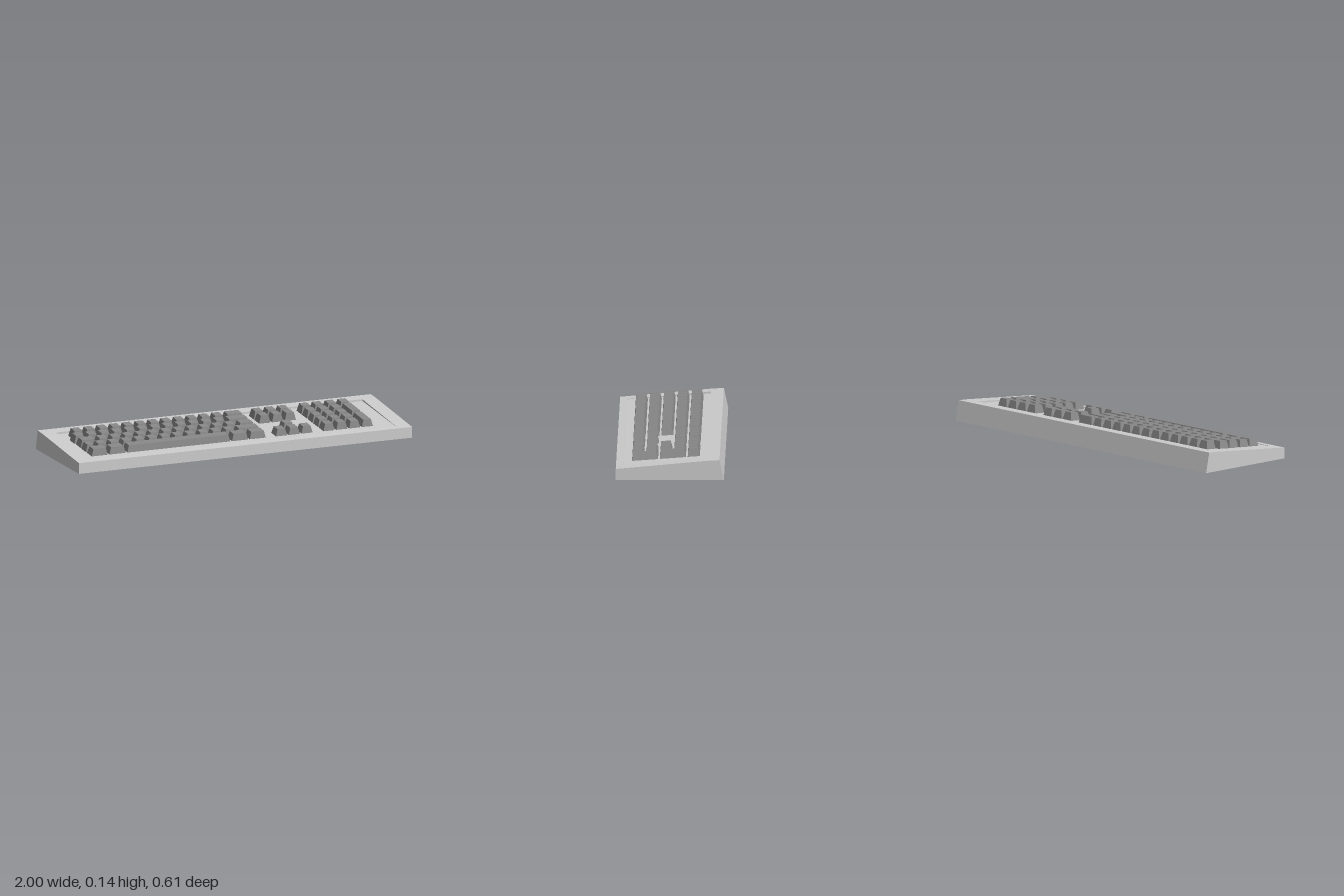
import * as THREE from 'three';

const caseMat = new THREE.MeshStandardMaterial({ color: 0xcccccc, flatShading: true });
const keyMat = new THREE.MeshStandardMaterial({ color: 0x888888, flatShading: true });

const PITCH = 0.0765, KEY_W = 0.067, KEY_H = 0.036;
const HALF = 0.998, FRONT = 0.297, BACK = -0.297, BACK_TOP = -0.273;
const PX = 0.917, PZ_FRONT = 0.255, PZ_BACK = -0.203; // recessed panel

// Height of the sloping deck
const deck = (z) => 0.061 + (FRONT - z) * 0.0935;
// Panel floor, sinking gently towards the back
const floorY = (z) => deck(z) - 0.002 - 0.008 * (PZ_FRONT - z) / (PZ_FRONT - PZ_BACK);

// Wedge-shaped case with a sunken panel, built from convex polygons
function caseGeometry() {
  const pos = [];
  const face = (...p) => {
    for (let i = 1; i < p.length - 1; i++) pos.push(...p[0], ...p[i], ...p[i + 1]);
  };
  const yB = deck(PZ_BACK), yF = deck(PZ_FRONT), y0 = deck(FRONT), y1 = 0.112;
  const fB = floorY(PZ_BACK), fF = floorY(PZ_FRONT);
  const W = HALF;

  // Underside, front and back
  face([-W, 0, BACK], [W, 0, BACK], [W, 0, FRONT], [-W, 0, FRONT]);
  face([-W, 0, FRONT], [W, 0, FRONT], [W, y0, FRONT], [-W, y0, FRONT]);
  face([W, 0, BACK], [-W, 0, BACK], [-W, y1, BACK_TOP], [W, y1, BACK_TOP]);
  // Front and back rim
  face([-W, y0, FRONT], [W, y0, FRONT], [W, yF, PZ_FRONT], [-W, yF, PZ_FRONT]);
  face([-W, yB, PZ_BACK], [W, yB, PZ_BACK], [W, y1, BACK_TOP], [-W, y1, BACK_TOP]);
  // Panel floor with its front and back walls
  face([-PX, fF, PZ_FRONT], [PX, fF, PZ_FRONT], [PX, fB, PZ_BACK], [-PX, fB, PZ_BACK]);
  face([PX, fF, PZ_FRONT], [-PX, fF, PZ_FRONT], [-PX, yF, PZ_FRONT], [PX, yF, PZ_FRONT]);
  face([-PX, fB, PZ_BACK], [PX, fB, PZ_BACK], [PX, yB, PZ_BACK], [-PX, yB, PZ_BACK]);
  // Ends, side rims and panel side walls, mirrored
  for (const s of [1, -1]) {
    const side = (...p) => {
      const q = p.map(([x, y, z]) => [x * s, y, z]);
      face(...(s > 0 ? q : q.reverse()));
    };
    side([W, 0, FRONT], [W, 0, BACK], [W, y1, BACK_TOP], [W, yB, PZ_BACK], [W, y0, FRONT]);
    side([PX, yF, PZ_FRONT], [W, yF, PZ_FRONT], [W, yB, PZ_BACK], [PX, yB, PZ_BACK]);
    side([PX, fB, PZ_BACK], [PX, fF, PZ_FRONT], [PX, yF, PZ_FRONT], [PX, yB, PZ_BACK]);
  }
  const g = new THREE.BufferGeometry();
  g.setAttribute('position', new THREE.Float32BufferAttribute(pos, 3));
  g.computeVertexNormals();
  return g;
}

// Tapered keycap standing on the panel, its top parallel to the deck
function makeKey(name, x0, x1, z0, z1) {
  const g = new THREE.BoxGeometry(1, 1, 1);
  const p = g.attributes.position;
  for (let i = 0; i < p.count; i++) {
    const top = p.getY(i) > 0 ? 1 : 0;
    const x = p.getX(i) < 0 ? x0 + 0.011 * top : x1 - 0.011 * top;
    const z = p.getZ(i) < 0 ? z0 + 0.011 * top : z1 - 0.004 * top;
    p.setXYZ(i, x, top ? deck(z) + KEY_H : floorY(z) - 0.001, z);
  }
  g.computeVertexNormals();
  const m = new THREE.Mesh(g, keyMat);
  m.name = name;
  return m;
}

export function createModel() {
  const model = new THREE.Group();
  model.name = 'keyboard';

  const body = new THREE.Mesh(caseGeometry(), caseMat);
  body.name = 'case';
  model.add(body);

  const rowZ = (r) => -0.163 + r * PITCH;
  const block = (name) => {
    const b = new THREE.Group();
    b.name = name;
    model.add(b);
    return b;
  };
  const key = (b, name, r, x0, x1, rows = 1) =>
    b.add(makeKey(name, x0, x1, rowZ(r), rowZ(r + rows - 1) + KEY_W));
  const run = (b, r, x, n) => {
    for (let i = 0; i < n; i++) key(b, 'key', r, x + i * PITCH, x + i * PITCH + KEY_W);
  };

  // Main typing block: regular keys, then the wider ones at the row ends
  const main = block('mainKeys');
  [[0, -0.863, 12], [1, -0.887, 12], [2, -0.778, 11], [3, -0.82, 11]]
    .forEach(([r, x, n]) => run(main, r, x, n));
  [[0, 0.055, 0.16], [1, 0.031, 0.16], [2, -0.883, -0.788], [2, 0.064, 0.16],
    [3, -0.885, -0.83], [3, 0.022, 0.16], [4, -0.883, -0.787], [4, -0.777, -0.68],
    [4, -0.043, 0.054], [4, 0.063, 0.16]]
    .forEach(([r, x0, x1]) => key(main, 'wideKey', r, x0, x1));
  key(main, 'spaceBar', 4, -0.67, -0.053);

  // Navigation keys and arrows
  const nav = block('navigationKeys');
  run(nav, 0, 0.22, 3);
  run(nav, 1, 0.22, 3);
  const arrows = block('arrowKeys');
  run(arrows, 3, 0.22 + PITCH, 1);
  run(arrows, 4, 0.22, 3);

  // Number pad with two double-height keys
  const pad = block('numberPad');
  for (let r = 0; r < 5; r++) run(pad, r, 0.505, r === 0 ? 4 : 3);
  const tallX = 0.505 + 3 * PITCH;
  for (const r of [1, 3]) key(pad, 'tallKey', r, tallX, tallX + KEY_W, 2);

  // The whole board sits at a slight turn
  model.rotation.y = 0.006;
  const root = new THREE.Group();
  root.add(model);
  return root;
}
